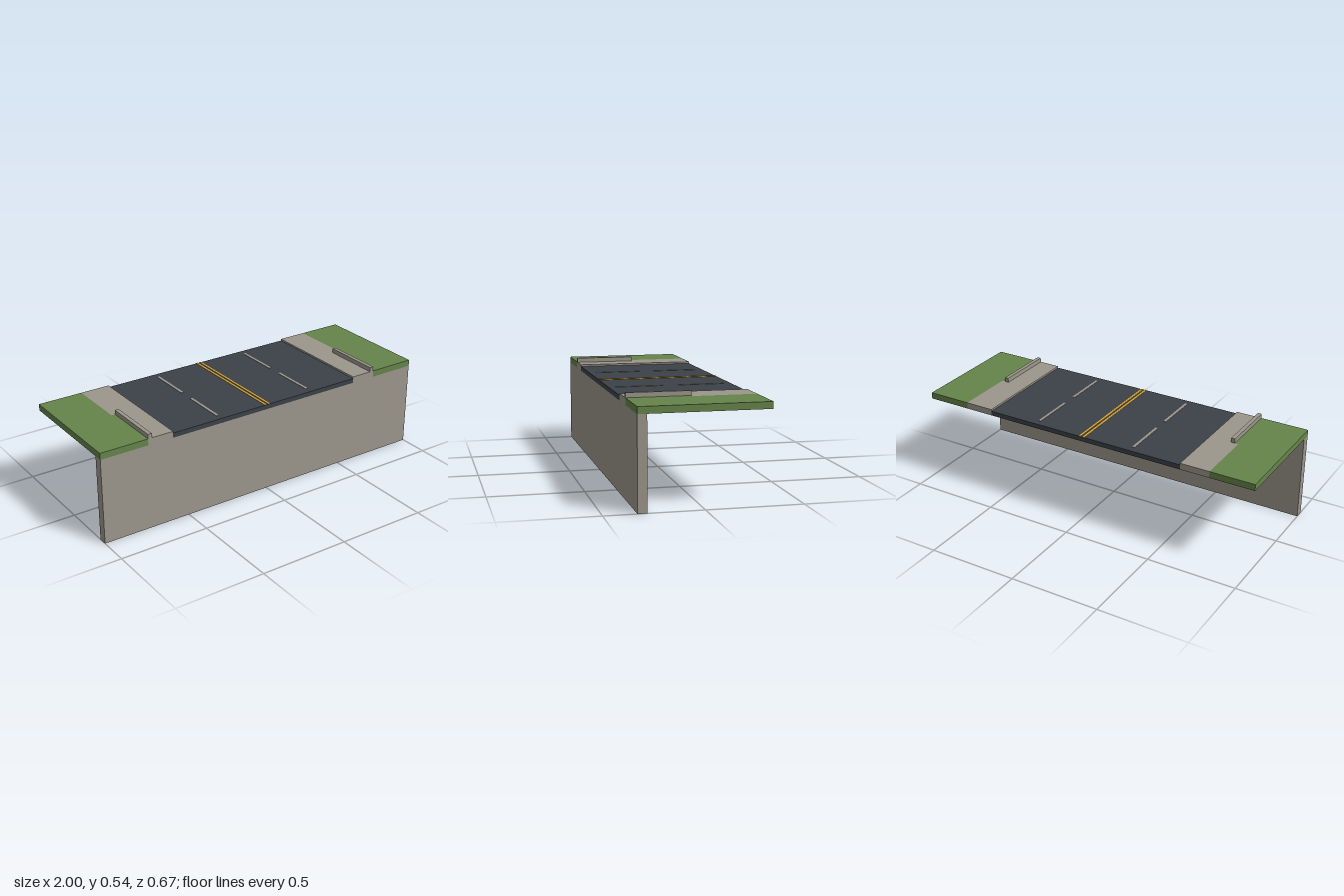
import * as THREE from 'three';

const material = (name, color, side = THREE.FrontSide) =>
  new THREE.MeshStandardMaterial({ name, color, side });

// Order of the faces in a BoxGeometry
const FACES = ['right', 'left', 'top', 'bottom', 'front', 'back'];

export function createModel() {
  const model = new THREE.Group();
  model.name = 'roadSegment';

  const concrete = material('concrete', 0x9c978c, THREE.DoubleSide);
  const grass = material('grass', 0x66844a, THREE.DoubleSide);
  const asphalt = material('asphalt', 0x3c4149, THREE.DoubleSide);
  const yellow = material('yellowPaint', 0xe0a82e);

  // Box between two corners that keeps only the listed faces
  function shell(name, mat, [x0, x1], [y0, y1], [z0, z1], keep = FACES) {
    const geo = new THREE.BoxGeometry(x1 - x0, y1 - y0, z1 - z0);
    const all = Array.from(geo.index.array);
    geo.setIndex(keep.flatMap((f) => {
      const start = FACES.indexOf(f) * 6;
      return all.slice(start, start + 6);
    }));
    geo.clearGroups();
    geo.translate((x0 + x1) / 2, (y0 + y1) / 2, (z0 + z1) / 2);
    const mesh = new THREE.Mesh(geo, mat);
    mesh.name = name;
    model.add(mesh);
  }

  const base = 0.477, roadTop = 0.503, top = 0.513, curbTop = 0.538;
  const edge = 0.333, roadEdge = 0.585;
  const deck = [base, top], backHalf = [-edge, 0], frontHalf = [0, edge];

  // Retaining wall under the front edge
  shell('retainingWall', concrete, [-1, 1], [0, base], [0.285, edge]);

  // Road deck, hollow below
  shell('road', asphalt, [-roadEdge, roadEdge], [base, roadTop], [-edge, edge],
    ['top', 'front', 'back']);

  for (const s of [1, -1]) {
    const side = s > 0 ? 'left' : 'right';
    const span = (a, b) => (s > 0 ? [a, b] : [-b, -a]);
    const outer = s > 0 ? 'right' : 'left';
    const inner = s > 0 ? 'left' : 'right';

    // Verges, open underneath
    shell(side + 'BackGrass', grass, span(0.75, 1), deck, backHalf, ['top', 'back', outer]);
    shell(side + 'FrontGrass', grass, span(0.73, 1), deck, frontHalf,
      ['top', 'front', 'back', outer]);

    // Sidewalks, open underneath
    shell(side + 'BackSidewalk', concrete, span(roadEdge, 0.75), deck, backHalf,
      ['top', 'back', inner]);
    shell(side + 'FrontSidewalk', concrete, span(roadEdge, 0.708), deck, frontHalf,
      ['top', 'front', 'back', inner]);

    // Raised curb along the front half
    shell(side + 'CurbFoot', concrete, span(0.708, 0.73), deck, frontHalf,
      ['front', 'back', outer]);
    shell(side + 'Curb', concrete, span(0.708, 0.73), [top, curbTop], frontHalf,
      ['top', 'front', 'back', outer, inner]);

    // Painted lines: half of the double centre line and the lane dashes
    const paint = [roadTop, roadTop + 0.002];
    shell(side + 'CentreLine', yellow, span(0.006, 0.017), paint, [-edge, edge]);
    for (const [z0, z1] of [[-0.295, -0.043], [0.043, 0.295]]) {
      shell(side + 'LaneDash', concrete, span(0.284, 0.299), paint, [z0, z1]);
    }
  }
  return model;
}
